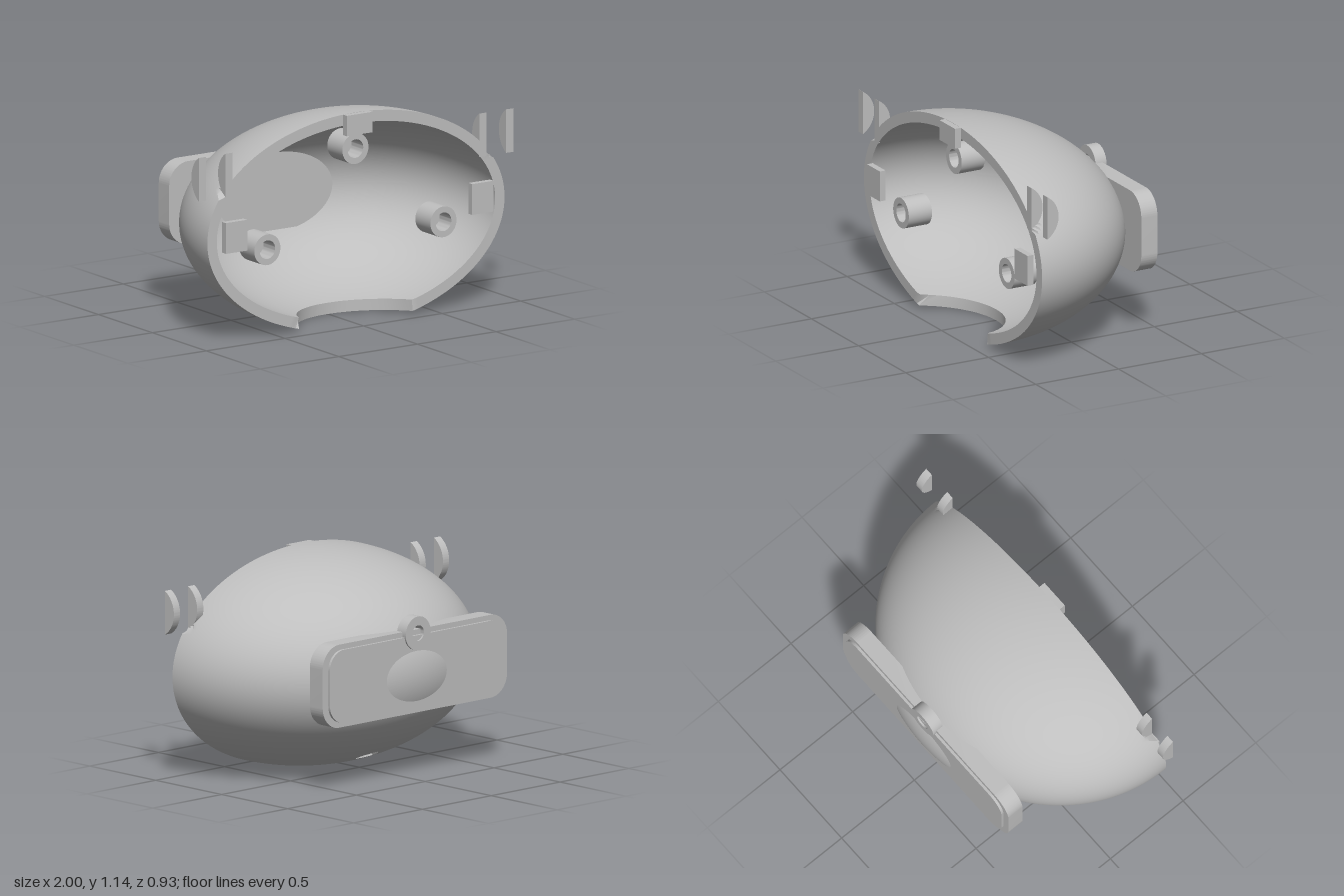
import * as THREE from 'three';
import { toCreasedNormals } from 'three/addons/utils/BufferGeometryUtils.js';

const grey = new THREE.MeshStandardMaterial({ color: 0xbebebe });
grey.name = 'plain grey';

const RIM_Z = 0.43, MID_Y = 0.56;
const OUTER = [0.945, 0.582, 0.89], INNER = [0.885, 0.522, 0.83];

function ellipsoidPoint([a, b, c], phi, theta) {
  return new THREE.Vector3(
    a * Math.cos(phi) * Math.cos(theta),
    MID_Y + b * Math.sin(phi) * Math.cos(theta),
    RIM_Z - c * Math.sin(theta));
}

// Angle at which a meridian starts: the rim, or the edge of the round cut-out underneath
function startAngle(axes, phi) {
  let theta = 0;
  if (Math.sin(phi) > 0) return theta;
  for (; theta < 0.6; theta += 0.001) {
    const p = ellipsoidPoint(axes, phi, theta);
    if (Math.hypot(p.x, p.z - 0.55) > 0.38) break;
  }
  return theta;
}

// Hollow half ellipsoid: inner skin, rim and outer skin as one grid
function shellGeometry(cols = 256, rows = 72) {
  const pos = [], index = [], hole = new THREE.Vector3(0, 0.07, -0.07);
  const total = 2 * (rows + 1);
  for (let j = 0; j < cols; j++) {
    const phi = (j / cols) * Math.PI * 2;
    for (let k = 0; k < total; k++) {
      const outside = k > rows;
      const axes = outside ? OUTER : INNER;
      const t = outside ? (k - rows - 1) / rows : 1 - k / rows;
      const p = ellipsoidPoint(axes, phi, THREE.MathUtils.lerp(startAngle0(axes, phi), Math.PI / 2, t));
      if (outside) {
        // slot beside each inner clip
        if (p.y > 0.79 && Math.abs(p.x) > 0.83 && Math.hypot(p.z - 0.497, p.y - 0.912) < 0.14) p.x = 0.83 * Math.sign(p.x);
        // small blind hole in the underside
        if (p.distanceTo(hole) < 0.048) p.add(new THREE.Vector3(0, 0.04, 0.03));
      }
      pos.push(p.x, p.y, p.z);
    }
  }
  for (let j = 0; j < cols; j++) {
    for (let k = 0; k < total - 1; k++) {
      const a = j * total + k, b = ((j + 1) % cols) * total + k;
      if (k > 0) index.push(a, a + 1, b);
      if (k < total - 2) index.push(a + 1, b + 1, b);
    }
  }
  const g = new THREE.BufferGeometry();
  g.setAttribute('position', new THREE.Float32BufferAttribute(pos, 3));
  g.setIndex(index);
  return toCreasedNormals(g, 0.6);
}

// Remembered start angles, one per meridian and skin
const starts = new Map();
function startAngle0(axes, phi) {
  const key = axes[0] + ':' + phi;
  if (!starts.has(key)) starts.set(key, startAngle(axes, phi));
  return starts.get(key);
}

function roundedPlate(halfW, y0, y1, r, depth) {
  const s = new THREE.Shape();
  s.absarc(halfW - r, y1 - r, r, 0, Math.PI / 2);
  s.absarc(-halfW + r, y1 - r, r, Math.PI / 2, Math.PI);
  s.absarc(-halfW + r, y0 + r, r, Math.PI, Math.PI * 1.5);
  s.absarc(halfW - r, y0 + r, r, Math.PI * 1.5, Math.PI * 2);
  s.closePath();
  return toCreasedNormals(new THREE.ExtrudeGeometry(s, { depth, bevelEnabled: false, curveSegments: 16 }), 0.5);
}

function ringGeometry(outer, inner, depth) {
  const s = new THREE.Shape();
  s.absarc(0, 0, outer, 0, Math.PI * 2);
  const h = new THREE.Path();
  h.absarc(0, 0, inner, 0, Math.PI * 2, true);
  s.holes.push(h);
  return toCreasedNormals(new THREE.ExtrudeGeometry(s, { depth, bevelEnabled: false, curveSegments: 24 }), 0.5);
}

// D-shaped clip: flat towards the front, round towards the back
function clipGeometry(width) {
  const s = new THREE.Shape();
  const half = Math.asin(0.1175 / 0.135);
  s.absarc(-0.067, 0, 0.135, -half, half);
  s.closePath();
  const g = new THREE.ExtrudeGeometry(s, { depth: width, bevelEnabled: false, curveSegments: 24 });
  g.translate(0, 0, -width / 2);
  g.rotateY(Math.PI / 2);
  return toCreasedNormals(g, 0.5);
}

export function createModel() {
  const model = new THREE.Group();
  const add = (name, geometry, x = 0, y = 0, z = 0) => {
    const m = new THREE.Mesh(geometry, grey);
    m.name = name;
    m.position.set(x, y, z);
    model.add(m);
    return m;
  };

  add('shell', shellGeometry());

  // Back plate with raised panel and hanging ring
  add('backPlate', roundedPlate(0.67, 0.36, 0.805, 0.12, 0.097), 0, 0, -0.422);
  add('backPanel', roundedPlate(0.63, 0.387, 0.777, 0.1, 0.03), 0, 0, -0.436);
  add('hangingRing', ringGeometry(0.09, 0.042, 0.066), 0, 0.79, -0.446);

  // Screw bosses with blind bores
  for (const [x, y] of [[0, 0.945], [-0.56, 0.475], [0.56, 0.475]]) {
    add('screwBoss', ringGeometry(0.083, 0.05, 0.14), x, y, 0.285);
    const floor = new THREE.CylinderGeometry(0.051, 0.051, 0.03, 32);
    floor.rotateX(Math.PI / 2);
    add('bossFloor', floor, x, y, 0.301);
  }

  // Locating tabs on the rim
  add('topTab', new THREE.BoxGeometry(0.165, 0.11, 0.035), 0, 1.085, 0.4475);
  for (const side of [-1, 1]) {
    add('sideTab', new THREE.BoxGeometry(0.136, 0.166, 0.035), side * 0.783, 0.582, 0.4475);
    add('innerClip', clipGeometry(0.045), side * 0.808, 0.912, RIM_Z);
    add('outerClip', clipGeometry(0.045), side * 0.9775, 0.912, RIM_Z);
  }
  return model;
}
